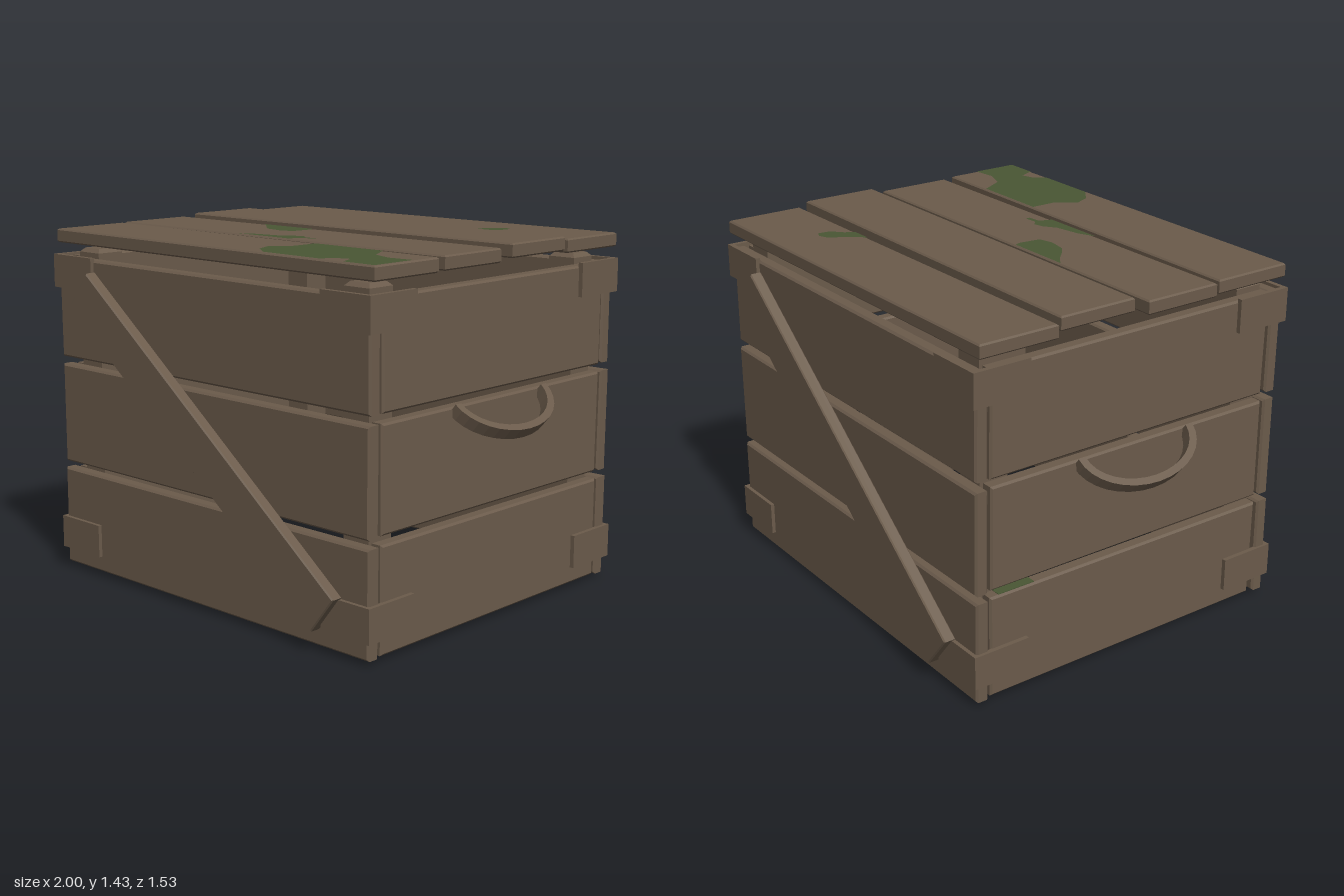
import * as THREE from 'three';

export function createModel() {
  const crate = new THREE.Group();
  crate.name = 'crate';
  const wood = new THREE.MeshStandardMaterial({ color: 0x6b5b4b });
  wood.name = 'wood';
  const moss = new THREE.MeshStandardMaterial({ color: 0x495634 });
  moss.name = 'moss';

  let seed = 7;
  const jitter = (a) => {
    seed = (seed * 16807) % 2147483647;
    return (seed / 2147483647 - 0.5) * 2 * a;
  };
  const shapeOf = (pts) => new THREE.Shape(pts.map(([x, y]) => new THREE.Vector2(x, y)));

  // Slab of thickness t with chamfered edges, centred on z = 0
  const slab = (pts, t, bevel) => {
    const g = new THREE.ExtrudeGeometry(shapeOf(pts), {
      depth: t - 2 * bevel, bevelEnabled: true, bevelSegments: 1,
      bevelSize: bevel, bevelThickness: bevel, bevelOffset: -bevel,
    });
    return g.translate(0, 0, bevel - t / 2);
  };
  // Rectangle with slightly uneven corners
  const plank = (x0, x1, y0, y1, a = 0.004) =>
    [[x0, y0], [x1, y0], [x1, y1], [x0, y1]].map(([x, y]) => [x + jitter(a), y + jitter(a)]);
  const add = (name, geometry, material = wood) => {
    const m = new THREE.Mesh(geometry, material);
    m.name = name;
    crate.add(m);
    return m;
  };

  // Three rows of wall boards on each side
  for (const y of [0.02, 0.46, 0.9]) {
    for (const s of [1, -1]) {
      add(s > 0 ? 'frontBoard' : 'backBoard', slab(plank(-0.853, 0.85, y, y + 0.408), 0.055, 0.008))
        .position.z = s * 0.688;
      const side = add(s > 0 ? 'leftBoard' : 'rightBoard', slab(plank(-0.648, 0.648, y, y + 0.408), 0.055, 0.008));
      side.rotation.y = Math.PI / 2;
      side.position.x = s * 0.821;
    }
  }

  // Corner posts and L-shaped corner plates
  for (const sx of [1, -1]) {
    for (const sz of [1, -1]) {
      const post = add('cornerPost', slab(plank(-0.06, 0.06, -0.06, 0.06, 0), 1.345, 0.016));
      post.rotation.x = -Math.PI / 2;
      post.position.set(sx * 0.732, 0.6725, sz * 0.595);

      const outline = [[0.866, 0.731], [0.63, 0.731], [0.63, 0.711], [0.846, 0.711], [0.846, 0.49], [0.866, 0.49]];
      for (const y of [0.088, 1.186]) {
        const g = new THREE.ExtrudeGeometry(shapeOf(outline.map(([x, z]) => [sx * x, -sz * z])),
          { depth: 0.134, bevelEnabled: false });
        add('cornerPlate', g.rotateX(-Math.PI / 2)).position.y = y;
      }
    }
  }

  // Diagonal braces, front and back
  for (const s of [1, -1]) {
    const brace = new THREE.Group();
    brace.name = s > 0 ? 'frontBrace' : 'backBrace';
    const bar = new THREE.Mesh(slab(plank(-0.848, 0.848, -0.09, 0.09, 0), 0.05, 0.005), wood);
    bar.name = 'braceBoard';
    bar.rotation.z = -0.657;
    bar.position.set(-0.003, 0.675, 0.74);
    brace.add(bar);
    brace.rotation.y = s > 0 ? 0 : Math.PI;
    crate.add(brace);
  }

  // Drooping half-oval handles
  const arc = (rz, ru) => Array.from({ length: 17 }, (_, i) => {
    const a = (i / 16) * Math.PI;
    return [Math.sin(a) * ru, Math.cos(a) * rz];
  });
  for (const s of [1, -1]) {
    const handle = new THREE.Group();
    handle.name = s > 0 ? 'leftHandle' : 'rightHandle';
    const g = new THREE.ExtrudeGeometry(
      shapeOf([...arc(0.272, 0.174), ...arc(0.24, 0.146).reverse()]),
      { depth: 0.05, bevelEnabled: false });
    g.translate(0, 0, -0.025).rotateX(-Math.PI / 2).rotateZ(-0.69);
    const grip = new THREE.Mesh(g, wood);
    grip.name = 'handleGrip';
    grip.position.set(0.848, 0.859, 0);
    handle.add(grip);
    handle.rotation.y = s > 0 ? 0 : Math.PI;
    crate.add(handle);
  }

  // Lid slats, each slightly out of line: x0, x1, z at left end, z at right end, depth, centre height
  const slats = [
    [-0.878, 0.86, -0.715, -0.722, 0.333, 1.393],
    [-0.855, 0.878, -0.355, -0.35, 0.33, 1.407],
    [-0.883, 0.862, 0.018, 0.02, 0.325, 1.393],
    [-0.865, 0.878, 0.372, 0.392, 0.338, 1.393],
  ];
  for (const [x0, x1, za, zb, d, y] of slats) {
    const pts = [[x0, -za - d], [x1, -zb - d + 0.005], [x1, -zb], [x0, -za]];
    add('lidSlat', slab(pts, 0.055, 0.006).rotateX(-Math.PI / 2)).position.y = y;
  }

  // Moss patches lying on the lid (x, z outlines)
  const patches = [
    [[0.33, -0.392], [0.38, -0.45], [0.42, -0.52], [0.46, -0.535], [0.49, -0.52], [0.485, -0.47], [0.44, -0.43], [0.42, -0.392]],
    [[-0.37, 0.023], [-0.09, 0.023], [-0.08, 0.05], [-0.09, 0.14], [-0.15, 0.155], [-0.23, 0.14], [-0.27, 0.11], [-0.32, 0.06]],
    [[-0.19, 0.342], [-0.12, 0.31], [-0.01, 0.29], [0.04, 0.255], [0.08, 0.245], [0.11, 0.27], [0.165, 0.265],
      [0.165, 0.285], [0.11, 0.29], [0.09, 0.342]],
    [[0.28, 0.39], [0.62, 0.394], [0.64, 0.43], [0.68, 0.5], [0.77, 0.535], [0.874, 0.525], [0.874, 0.722], [0.73, 0.72],
      [0.7, 0.65], [0.65, 0.665], [0.61, 0.716], [0.33, 0.71], [0.25, 0.65], [0.22, 0.58], [0.28, 0.5]],
  ];
  for (const p of patches) {
    const g = new THREE.ShapeGeometry(shapeOf(p.map(([x, z]) => [x, -z])));
    add('mossPatch', g.rotateX(-Math.PI / 2), moss).position.y = 1.4225;
  }
  // Moss streak on top of a low side board
  add('mossStreak', new THREE.BoxGeometry(0.04, 0.006, 0.16), moss).position.set(-0.821, 0.43, -0.53);

  return crate;
}
